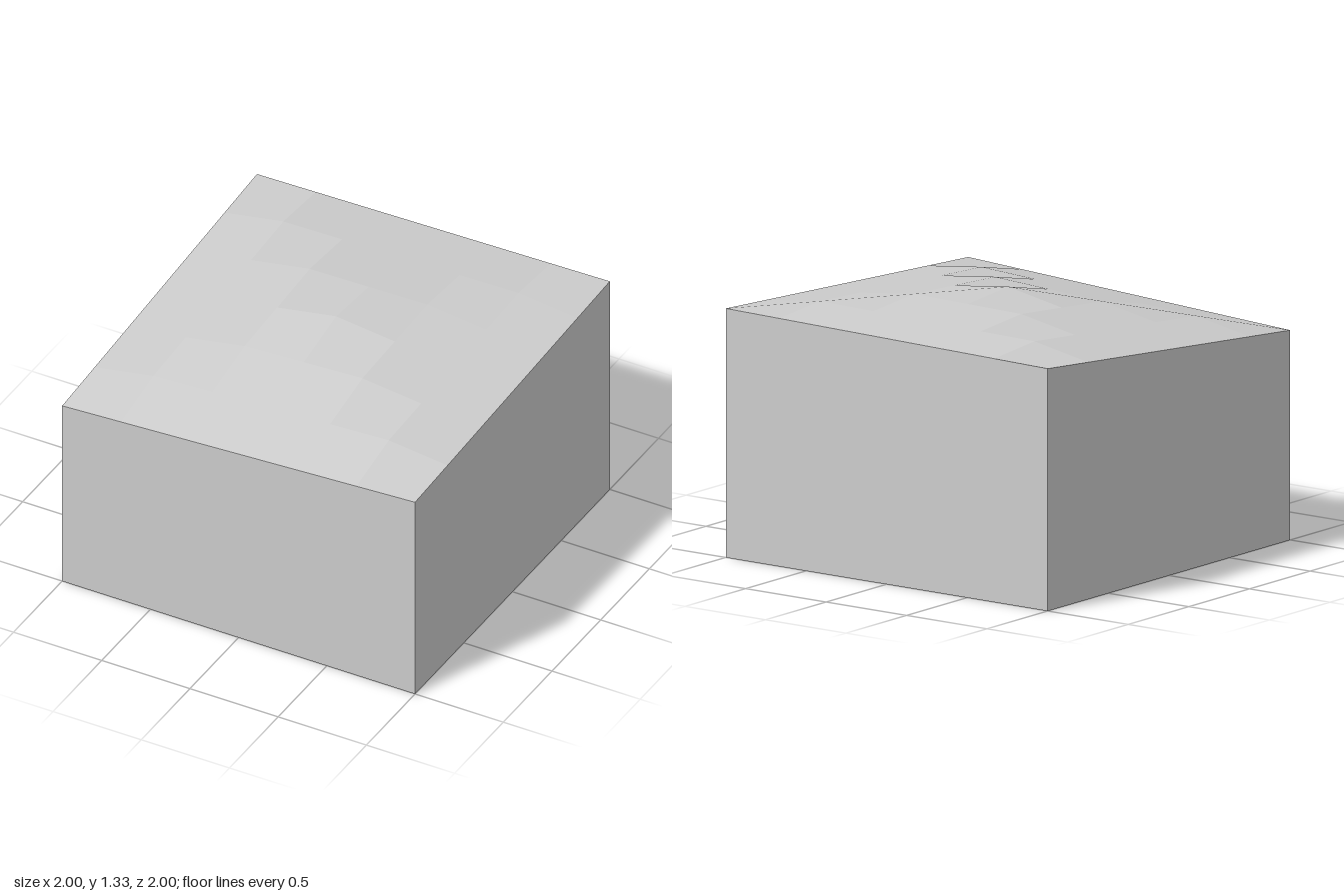
import * as THREE from 'three';

const CENTRE = 1.333;
const CELLS = 6;
// Corner heights, walking round from front left of the plan
const CORNERS = [[-1, 1, 1.067], [1, 1, 1.167], [1, -1, 1.267], [-1, -1, 1.233]];

// Straight-line height between the corners (used on the rim only)
function rimHeight(x, z) {
  return CORNERS.reduce((sum, [cx, cz, h]) => sum + h * (1 + cx * x) * (1 + cz * z) / 4, 0);
}

// Shallow pyramid: rim height rising evenly to the centre peak
function surfacePoint(i, j) {
  const x = -1 + (2 * i) / CELLS;
  const z = -1 + (2 * j) / CELLS;
  const t = Math.max(Math.abs(x), Math.abs(z));
  const y = t < 1e-6 ? CENTRE : CENTRE + (rimHeight(x / t, z / t) - CENTRE) * t;
  return new THREE.Vector3(x, y, z);
}

// Quads as [topLeft, bottomLeft, bottomRight, topRight], one flat normal per quad
function quadGeometry(quads) {
  const positions = [];
  const normals = [];
  for (const [tl, bl, br, tr] of quads) {
    const normal = br.clone().sub(tl).cross(tr.clone().sub(bl)).normalize();
    for (const p of [tl, bl, tr, bl, br, tr]) {
      positions.push(p.x, p.y, p.z);
      normals.push(normal.x, normal.y, normal.z);
    }
  }
  const geometry = new THREE.BufferGeometry();
  geometry.setAttribute('position', new THREE.Float32BufferAttribute(positions, 3));
  geometry.setAttribute('normal', new THREE.Float32BufferAttribute(normals, 3));
  return geometry;
}

export function createModel() {
  const group = new THREE.Group();
  group.name = 'terrainBlock';
  const grey = new THREE.MeshStandardMaterial({ color: 0xcccccc, side: THREE.DoubleSide });
  grey.name = 'light grey';

  // Faceted top surface
  const tiles = [];
  for (let j = 0; j < CELLS; j++) {
    for (let i = 0; i < CELLS; i++) {
      tiles.push([
        surfacePoint(i, j), surfacePoint(i, j + 1),
        surfacePoint(i + 1, j + 1), surfacePoint(i + 1, j),
      ]);
    }
  }
  const top = new THREE.Mesh(quadGeometry(tiles), grey);
  top.name = 'topSurface';
  group.add(top);

  // Four thin walls, open underneath
  const wallNames = ['frontWall', 'leftWall', 'backWall', 'rightWall'];
  CORNERS.forEach(([x, z, h], k) => {
    const [x2, z2, h2] = CORNERS[(k + 1) % 4];
    const wall = new THREE.Mesh(quadGeometry([[
      new THREE.Vector3(x, h, z), new THREE.Vector3(x, 0, z),
      new THREE.Vector3(x2, 0, z2), new THREE.Vector3(x2, h2, z2),
    ]]), grey);
    wall.name = wallNames[k];
    group.add(wall);
  });

  return group;
}
